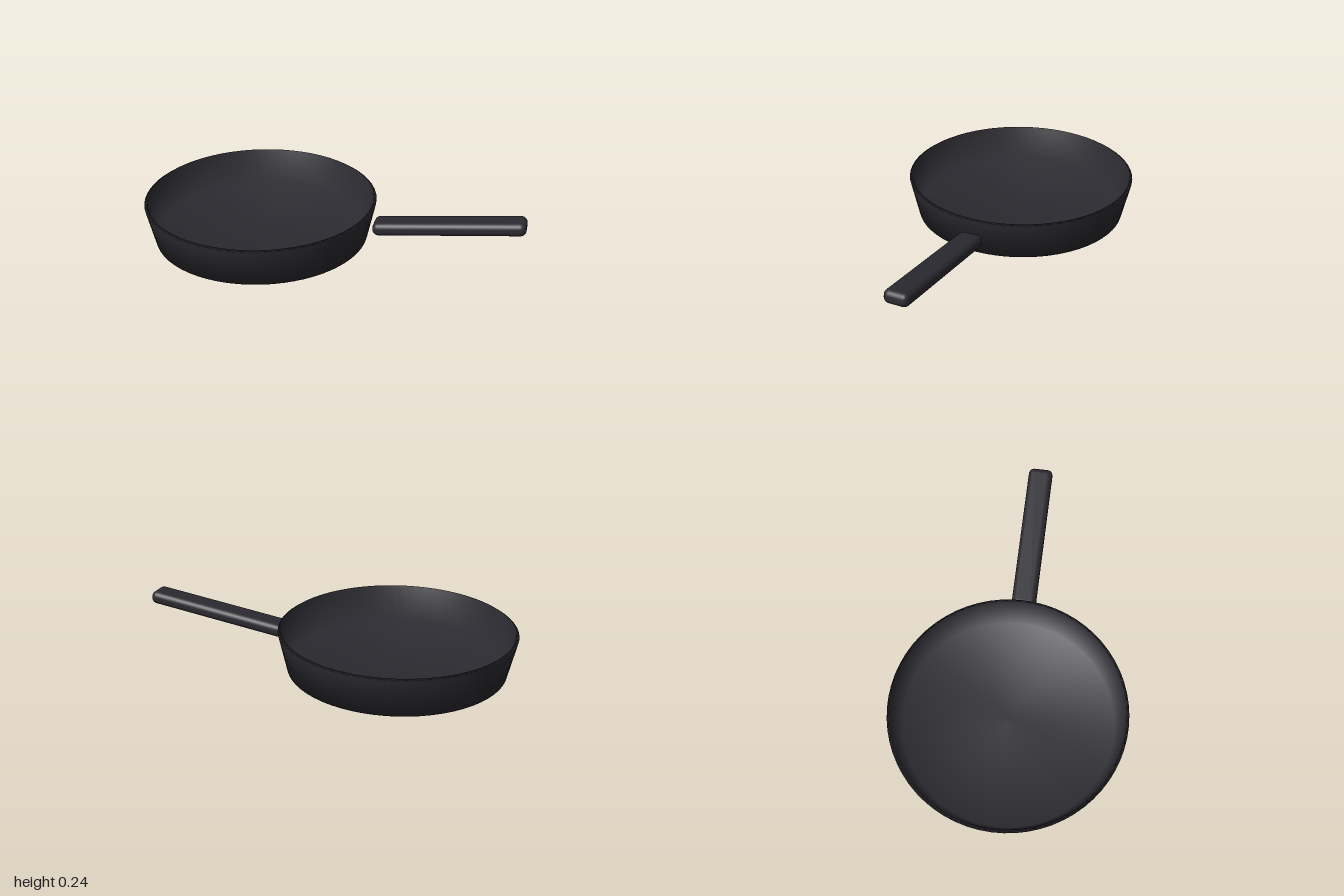
import * as THREE from 'three';
import { RoundedBoxGeometry } from 'three/addons/geometries/RoundedBoxGeometry.js';

export function createModel() {
  const model = new THREE.Group();
  model.name = 'fryingPan';

  const darkIron = new THREE.MeshStandardMaterial({ color: 0x2a2a30 });
  darkIron.name = 'dark iron';

  // Pan body: flared outer wall, bevelled rim, inner wall and floor in one smooth profile
  const profile = [
    [0, 0], [0.565, 0], [0.61, 0.2], [0.595, 0.21], [0.55, 0.02], [0, 0.02],
  ].map(([r, y]) => new THREE.Vector2(r, y));
  const body = new THREE.Mesh(new THREE.LatheGeometry(profile, 64), darkIron);
  body.name = 'panBody';
  body.position.x = -0.39;
  model.add(body);

  // Handle: soft-edged bar rising slightly away from the pan
  const handle = new THREE.Mesh(new RoundedBoxGeometry(0.784, 0.07, 0.13, 5, 0.03), darkIron);
  handle.name = 'handle';
  handle.position.set(0.61, 0.155, 0);
  handle.rotation.z = 0.126;
  model.add(handle);

  return model;
}
